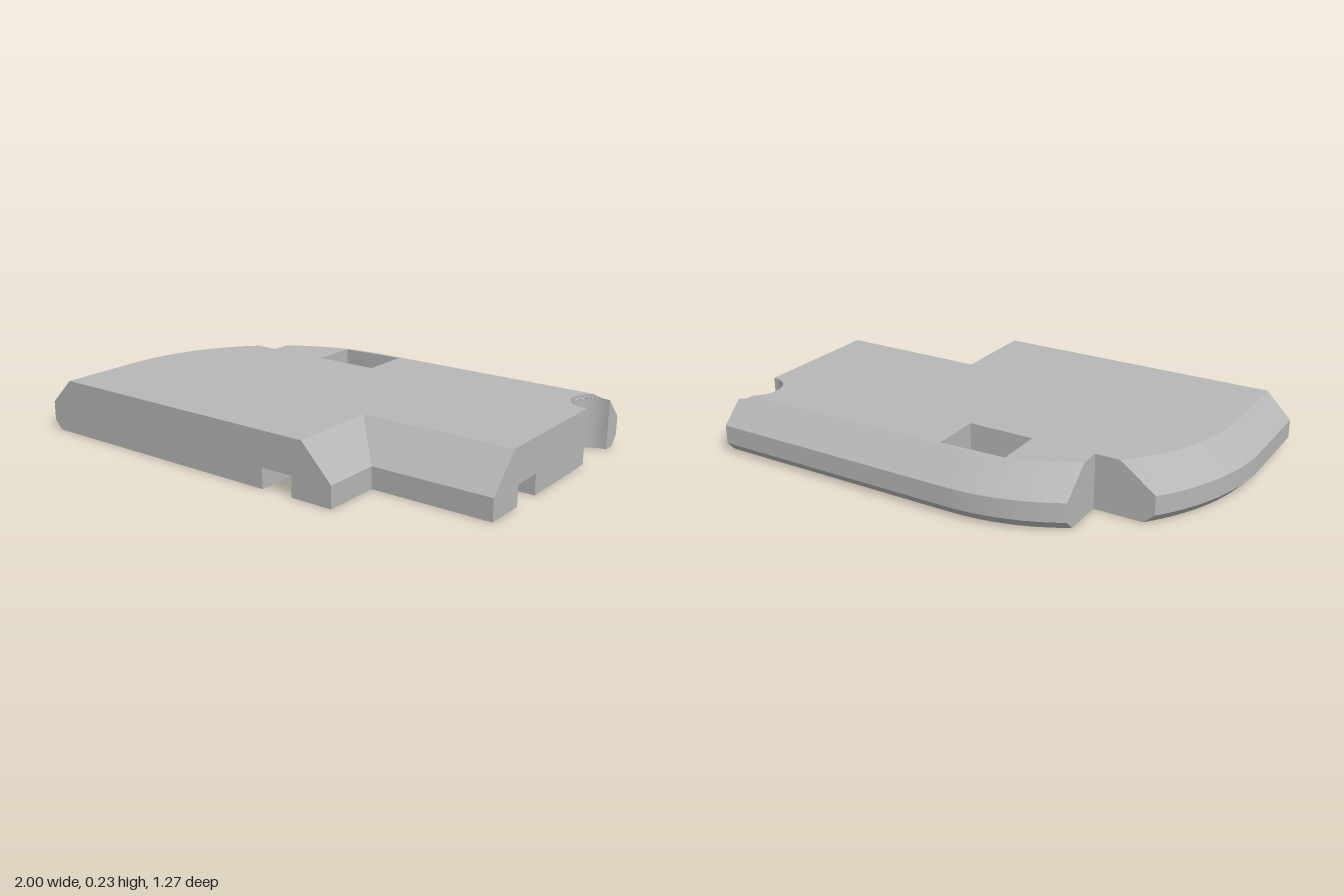
import * as THREE from 'three';
import { toCreasedNormals } from 'three/addons/utils/BufferGeometryUtils.js';

const HEIGHT = 0.23, GROOVE_TOP = 0.085, FRONT = 0.635;

// Push a triangle, skipping collapsed ones
function tri(out, a, b, c) {
  if (new THREE.Triangle(a, b, c).getArea() > 1e-8) for (const p of [a, b, c]) out.push(p.x, p.y, p.z);
}

// Walls between successive rings (rings run clockwise seen from above)
function loft(out, rings) {
  for (let k = 0; k + 1 < rings.length; k++) {
    const low = rings[k], high = rings[k + 1], n = low.length;
    for (let i = 0; i < n; i++) {
      const j = (i + 1) % n;
      tri(out, low[i], high[i], high[j]);
      tri(out, low[i], high[j], low[j]);
    }
  }
}

// Flat cap facing up or down, with optional holes
function cap(out, ring, up, holes = []) {
  const flat = (r) => r.map((p) => new THREE.Vector2(p.x, p.z));
  const all = [ring, ...holes].flat();
  for (const [a, b, c] of THREE.ShapeUtils.triangulateShape(flat(ring), holes.map(flat))) {
    const A = all[a], B = all[b], C = all[c];
    const ny = (B.z - A.z) * (C.x - A.x) - (B.x - A.x) * (C.z - A.z);
    if ((ny > 0) === up) tri(out, A, B, C);
    else tri(out, A, C, B);
  }
}

// Flat ring of [x, z] pairs at height y
const flatRing = (y, pts) => pts.map(([x, z]) => new THREE.Vector3(x, y, z));

// Plate outline at height y; the lower part stops at the groove
function outline(y, lower) {
  const inset = y < 0.04 ? 0.035 * (1 - y / 0.04) : Math.max(0, y - 0.12);
  const step = Math.max(0, y - 0.09) * 0.135 / 0.14;
  const r = 0.9 - inset, cx = -0.1, cz = 0.265, back = cz - r;
  const pts = [[-1 + inset, FRONT]];
  const arc = (from, to, n) => {
    for (let i = 0; i <= n; i++) {
      const t = from + (to - from) * i / n;
      pts.push([cx - r * Math.cos(t), cz - r * Math.sin(t)]);
    }
  };
  // rounded corner, interrupted by the square notch
  arc(0, Math.asin(0.565 / r), 14);
  pts.push([-0.55, -0.3]);
  arc(Math.acos(0.45 / r), Math.PI / 2, 12);
  // round notch in the right edge, running into the bevel near the top
  const t0 = Math.asin(Math.max(-1, (back + 0.435) / 0.11));
  pts.push([back > -0.5449 ? 1 - 0.11 * Math.cos(t0) : 1, back]);
  for (let i = 0; i <= 24; i++) {
    const t = t0 + (Math.PI / 2 - t0) * i / 24;
    pts.push([1 - 0.11 * Math.cos(t), -0.435 + 0.11 * Math.sin(t)]);
  }
  if (lower) pts.push([1, 0.08], [0.17, 0.08], [0.17, FRONT]);
  else pts.push([1, 0.39 - step], [0.49 - step, 0.39 - step], [0.49 - step, FRONT]);
  return flatRing(y, pts);
}

export function createModel() {
  const model = new THREE.Group();
  model.name = 'bevelledPlate';
  const grey = new THREE.MeshStandardMaterial({ color: 0xb6b6b6 });
  grey.name = 'plain grey';
  const add = (name, out) => {
    const g = new THREE.BufferGeometry();
    g.setAttribute('position', new THREE.Float32BufferAttribute(out, 3));
    const mesh = new THREE.Mesh(toCreasedNormals(g, Math.PI / 7), grey);
    mesh.name = name;
    model.add(mesh);
  };

  // square through-hole, its corner trimmed where it meets the bevel
  const hole = (y, corner) => flatRing(y, [[-0.28, corner], [-0.28, -0.3], [0, -0.3], [0, -0.512]]);
  const holeLow = hole(0, -0.512), holeTop = hole(HEIGHT, -0.5);

  // lower part of the plate, with the bottom chamfer
  const base = [];
  const lowRings = [0, 0.04, GROOVE_TOP].map((y) => outline(y, true));
  loft(base, lowRings);
  cap(base, lowRings[0], false, [holeLow]);
  add('plateBase', base);

  // upper part, with the top bevel and the sloped step
  const top = [];
  const topRings = [GROOVE_TOP, 0.09, 0.12, 0.21, 0.215, 0.22, 0.225, HEIGHT].map((y) => outline(y, false));
  loft(top, topRings);
  cap(top, topRings[topRings.length - 1], true, [holeTop]);
  add('plateTop', top);

  const walls = [];
  loft(walls, [holeLow, holeTop]);
  add('squareHole', walls);

  // L-shaped foot on the far side of the groove
  const foot = [];
  const footRing = (y) => flatRing(y, [[0.31, FRONT], [0.31, 0.215], [1, 0.215], [1, 0.39], [0.49, 0.39], [0.49, FRONT]]);
  loft(foot, [footRing(0), footRing(GROOVE_TOP)]);
  cap(foot, footRing(0), false);
  add('stepFoot', foot);

  // ceiling of the groove
  const ceiling = [];
  cap(ceiling, flatRing(GROOVE_TOP, [[0.17, FRONT], [0.17, 0.08], [1, 0.08], [1, 0.215], [0.31, 0.215], [0.31, FRONT]]), false);
  add('grooveCeiling', ceiling);

  return model;
}
